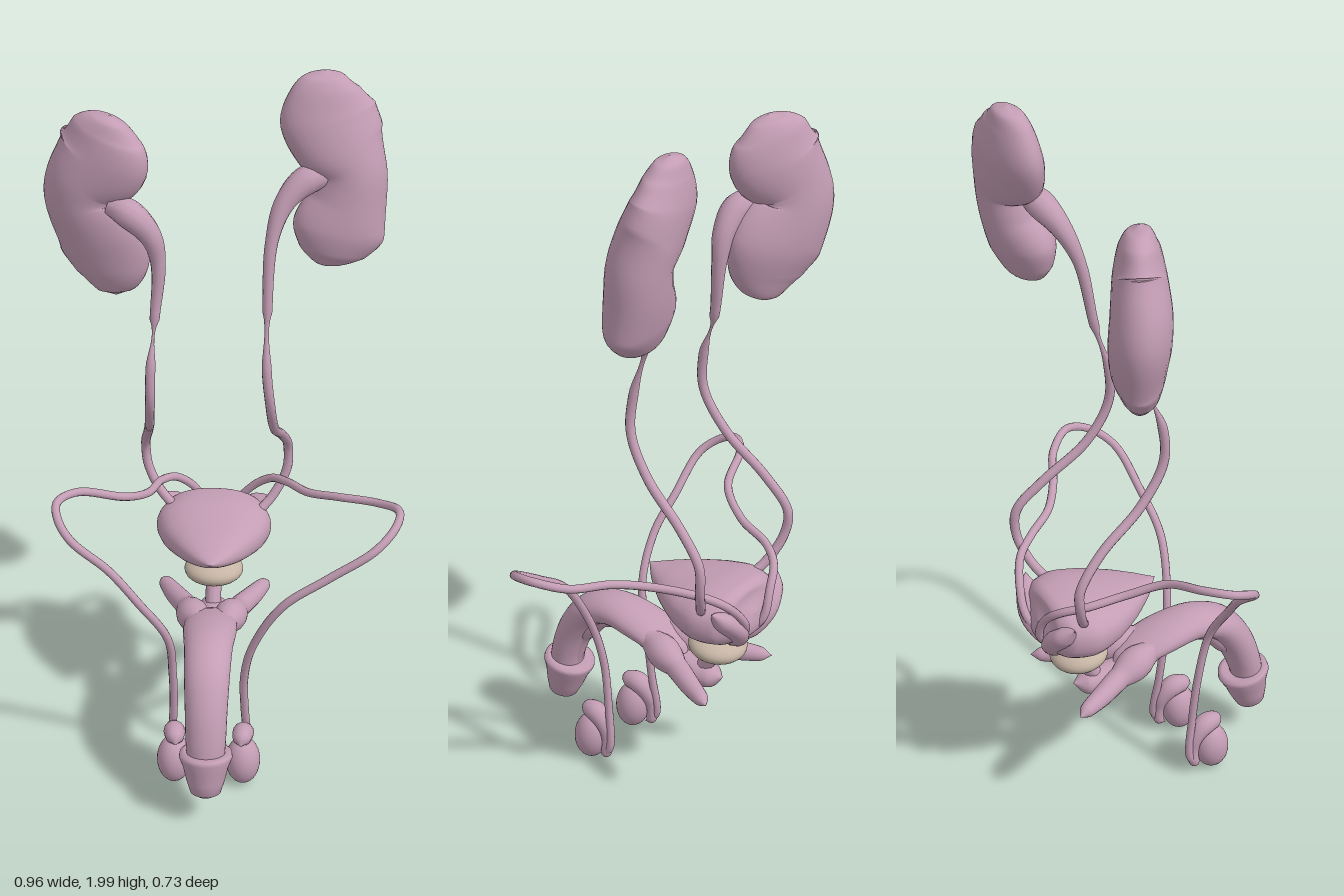
import * as THREE from 'three';

const tissue = new THREE.MeshStandardMaterial({ color: 0xc39db4 });
tissue.name = 'mauve tissue';
const gland = new THREE.MeshStandardMaterial({ color: 0xc6b5a5 });
gland.name = 'beige gland';
const MID = -0.043; // x of the middle line of the lower organs

// Lofts ellipses along stations [x, y, z, halfWidth, halfDepth]; side is the width direction
function sweep(stations, side = [1, 0, 0], steps = 48, sides = 28, power = 1) {
  const path = new THREE.CatmullRomCurve3(stations.map(s => new THREE.Vector3(s[0], s[1], s[2])));
  const size = new THREE.CatmullRomCurve3(stations.map(s => new THREE.Vector3(s[3], s[4] ?? s[3], 0)));
  const bend = v => Math.sign(v) * Math.pow(Math.abs(v), power);
  const pos = [], index = [];
  for (let i = 0; i <= steps; i++) {
    const c = path.getPoint(i / steps), r = size.getPoint(i / steps), t = path.getTangent(i / steps);
    const u = new THREE.Vector3(...side).addScaledVector(t, -t.dot(new THREE.Vector3(...side))).normalize();
    const v = new THREE.Vector3().crossVectors(t, u);
    for (let j = 0; j < sides; j++) {
      const a = j / sides * Math.PI * 2;
      const p = c.clone().addScaledVector(u, bend(Math.cos(a)) * Math.max(r.x, 0.0005))
        .addScaledVector(v, bend(Math.sin(a)) * Math.max(r.y, 0.0005));
      pos.push(p.x, p.y, p.z);
      if (i < steps) {
        const k = (j + 1) % sides, n = i * sides;
        index.push(n + j, n + k, n + sides + j, n + k, n + sides + k, n + sides + j);
      }
    }
  }
  const g = new THREE.BufferGeometry();
  g.setAttribute('position', new THREE.Float32BufferAttribute(pos, 3));
  g.setIndex(index);
  g.computeVertexNormals();
  return g;
}

function tube(points, radius) {
  const curve = new THREE.CatmullRomCurve3(points.map(p => new THREE.Vector3(...p)));
  return new THREE.TubeGeometry(curve, points.length * 8, radius, 10);
}

function ellipsoid(x, y, z, rx, ry, rz, tilt = 0) {
  return new THREE.SphereGeometry(1, 32, 20).scale(rx, ry, rz).rotateX(tilt).translate(x, y, z);
}

export function createModel() {
  const model = new THREE.Group();
  const add = (name, geometry, material = tissue) => {
    const mesh = new THREE.Mesh(geometry, material);
    mesh.name = name;
    model.add(mesh);
  };

  // Kidneys, notched on the inner side
  add('leftKidney', sweep([
    [.24, 2, -.27, 0, 0], [.24, 1.988, -.27, .05, .03], [.24, 1.95, -.265, .09, .048],
    [.25, 1.88, -.26, .125, .066], [.282, 1.81, -.25, .12, .076], [.315, 1.74, -.24, .09, .08],
    [.308, 1.66, -.23, .1, .08], [.285, 1.58, -.215, .122, .075], [.27, 1.515, -.205, .088, .055],
    [.266, 1.488, -.2, .045, .03], [.266, 1.48, -.2, 0, 0]], [1, 0, -.12], 64, 32));
  add('rightKidney', sweep([
    [-.3, 1.908, -.18, 0, 0], [-.303, 1.895, -.18, .052, .03], [-.31, 1.86, -.185, .1, .05],
    [-.322, 1.79, -.19, .13, .066], [-.37, 1.71, -.21, .108, .076], [-.375, 1.65, -.215, .113, .078],
    [-.325, 1.55, -.195, .138, .072], [-.305, 1.47, -.18, .11, .056],
    [-.296, 1.41, -.175, .055, .034], [-.294, 1.392, -.17, 0, 0]], [.89, 0, .45], 64, 32));

  // Ureters, widening into the kidneys
  add('leftUreter', sweep([
    [.25, 1.735, -.21, .03], [.2, 1.725, -.2, .038], [.145, 1.675, -.17, .028], [.113, 1.58, -.135, .017],
    [.104, 1.39, -.1, .013], [.105, 1.235, -.058, .013], [.115, 1.13, -.058, .013], [.125, 1.02, -.12, .013],
    [.145, .92, -.24, .013], [.16, .84, -.312, .013], [.158, .76, -.315, .013], [.12, .685, -.29, .013],
    [.06, .63, -.25, .013]], [0, 0, 1], 96, 12));
  add('rightUreter', sweep([
    [-.3, 1.67, -.15, .03], [-.25, 1.655, -.125, .038], [-.2, 1.6, -.12, .03], [-.18, 1.52, -.12, .02],
    [-.19, 1.36, -.1, .013], [-.2, 1.235, -.06, .013], [-.203, 1.13, -.06, .013], [-.21, 1.02, -.13, .013],
    [-.222, .92, -.25, .013], [-.235, .83, -.318, .013], [-.228, .76, -.315, .013], [-.19, .69, -.29, .013],
    [-.12, .63, -.25, .013]], [0, 0, 1], 96, 12));

  // Bladder, tapering to a point at the front
  add('bladder', sweep([
    [MID, .645, 0, 0, 0], [MID, .634, -.04, .045, .022], [MID, .624, -.1, .095, .046],
    [MID, .615, -.18, .143, .068], [MID, .61, -.25, .16, .082], [MID, .61, -.31, .14, .08],
    [MID, .612, -.342, .095, .058], [MID, .615, -.352, 0, 0]], [1, 0, 0], 48, 36, .85));

  // Prostate and the short canal beneath it
  add('prostate', ellipsoid(MID, .472, -.232, .083, .04, .08, -.12), gland);
  add('urethra', tube([[MID, .56, -.24], [MID, .46, -.23], [MID, .37, -.18]], .022));

  // Shaft with the spongy body along its underside
  add('shaft', sweep([
    [MID, .2, .297, .05, .045], [MID, .27, .283, .055, .046], [MID, .35, .252, .058, .048],
    [MID, .42, .2, .062, .047], [MID, .452, .12, .066, .044], [MID, .442, .02, .074, .04],
    [MID, .418, -.06, .07, .034], [MID, .4, -.11, .03, .02], [MID, .395, -.13, 0, 0]]));
  add('spongyBody', sweep([
    [MID, .22, .275, .025], [MID, .33, .232, .028], [MID, .405, .16, .028], [MID, .415, .08, .028],
    [MID, .4, 0, .029], [MID, .372, -.08, .036], [MID, .356, -.16, .044, .04],
    [MID, .36, -.215, .036, .032], [MID, .367, -.25, 0, 0]]));
  add('glans', new THREE.LatheGeometry([
    [0, 0], [.025, .003], [.042, .014], [.053, .05], [.062, .09], [.073, .12], [.071, .132], [.058, .137], [.03, .13]
  ].map(p => new THREE.Vector2(...p)), 36).rotateX(-.22).translate(MID, .098, .312));

  // Vas deferens on each side
  add('leftVasDeferens', tube([
    [.066, .04, .075], [.066, .07, .056], [.056, .2, .068], [.055, .34, .085], [.08, .46, .105], [.16, .61, .127],
    [.28, .7, .122], [.4, .78, .105], [.455, .82, .05], [.465, .832, -.01], [.41, .81, -.08], [.3, .79, -.135],
    [.22, .765, -.19], [.16, .745, -.27], [.115, .72, -.325], [.06, .67, -.355], [.01, .6, -.36],
    [-.025, .52, -.3]], .0115));
  add('rightVasDeferens', tube([
    [-.152, .04, .075], [-.152, .07, .056], [-.143, .2, .068], [-.143, .34, .085], [-.155, .48, .11],
    [-.23, .605, .125], [-.31, .7, .11], [-.41, .79, .102], [-.447, .83, .06], [-.452, .85, .01],
    [-.4, .848, -.045], [-.28, .805, -.09], [-.22, .76, -.18], [-.19, .735, -.28], [-.15, .71, -.335],
    [-.1, .66, -.358], [-.07, .59, -.36], [-.055, .52, -.3]], .0115));

  // Paired lower organs mirrored about the middle line
  for (const [label, s] of [['left', 1], ['right', -1]]) {
    const x = d => MID + s * d;
    add(label + 'Crus', sweep([
      [x(.03), .445, .06, .025], [x(.04), .425, -.04, .032], [x(.07), .4, -.14, .032], [x(.11), .388, -.22, .028],
      [x(.14), .383, -.28, .02], [x(.155), .38, -.305, 0]], [1, 0, 0], 32, 16));
    add(label + 'SeminalVesicle', sweep([
      [x(.01), .5, -.28, .01], [x(.03), .54, -.315, .03, .025], [x(.07), .59, -.33, .042, .03],
      [x(.115), .635, -.325, .034, .026], [x(.15), .67, -.315, 0, 0]], [0, 0, 1], 24, 16));
    add(label + 'Testis', ellipsoid(x(.096), .077, .13, .048, .071, .05, -.1));
    add(label + 'Epididymis', sweep([
      [x(.09), .15, .165, 0], [x(.092), .158, .145, .024], [x(.096), .156, .11, .03], [x(.1), .125, .08, .023],
      [x(.104), .08, .07, .015], [x(.106), .045, .072, .016], [x(.102), .028, .09, 0]], [1, 0, 0], 32, 14));
  }
  return model;
}
